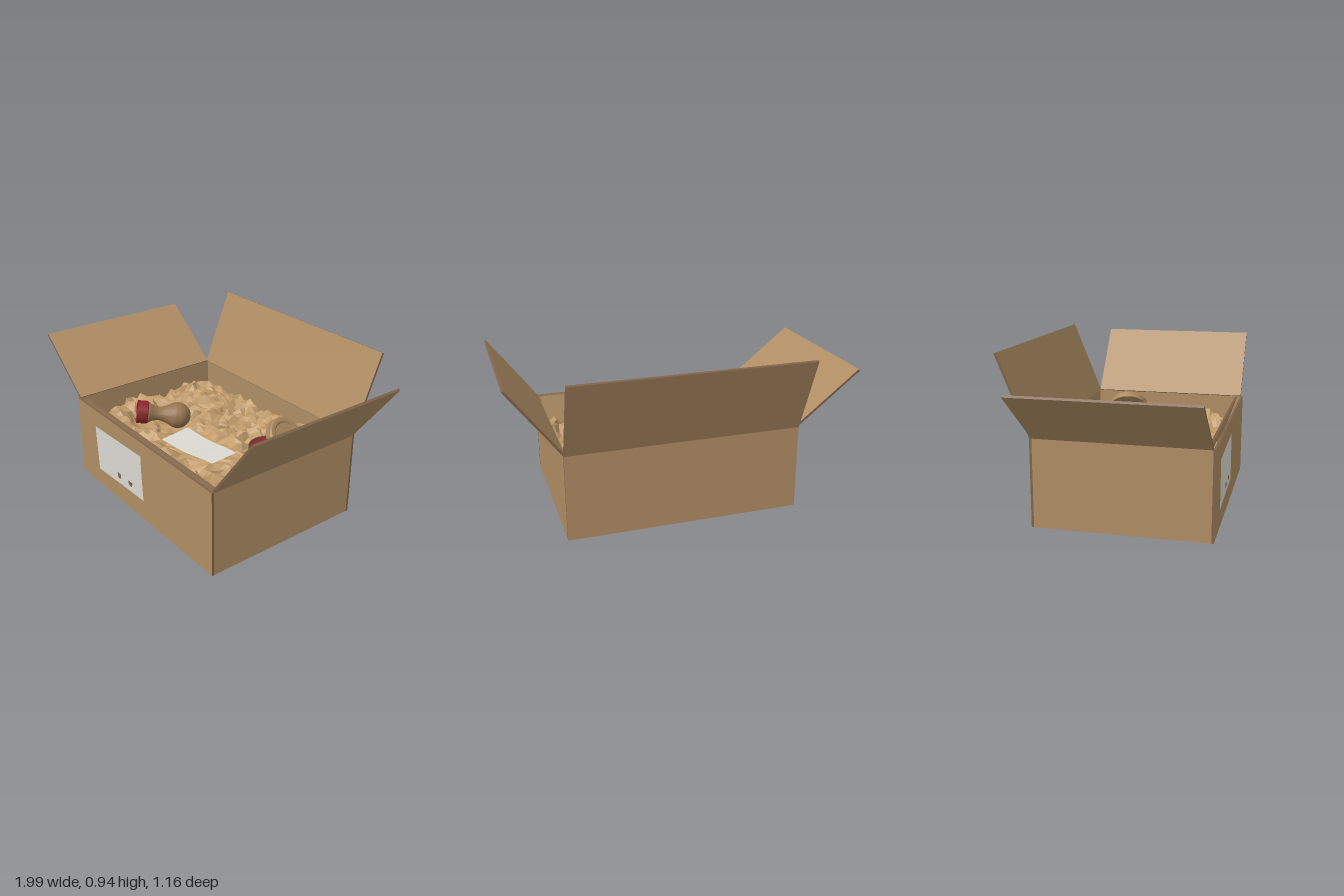
import * as THREE from 'three';
import { toCreasedNormals } from 'three/addons/utils/BufferGeometryUtils.js';

const material = (name, color, extra = {}) => {
  const m = new THREE.MeshStandardMaterial({ color, ...extra });
  m.name = name;
  return m;
};

export function createModel() {
  const board = material('cardboard', 0xb08e64);
  const edge = material('cardboard edge', 0x80634a);
  const packing = material('packing paper', 0xc09a69, { flatShading: true, side: THREE.DoubleSide });
  const white = material('white paper', 0xdbd9d2, { side: THREE.DoubleSide });
  const wood = material('wood', 0x94734f);
  const red = material('red', 0x8c2429);
  const lidTan = material('lid tan', 0xa9875d);
  const dark = material('dark brown', 0x5e4630);

  const group = new THREE.Group();
  group.name = 'openBox';
  const add = (name, geometry, mat, parent = group) => {
    const mesh = new THREE.Mesh(geometry, mat);
    mesh.name = name;
    parent.add(mesh);
    return mesh;
  };

  // Cardboard panel: broad faces are board, thin sides show the cut edge
  const panel = (name, w, h, d, x, y, z) => {
    const thin = [w, h, d].indexOf(Math.min(w, h, d));
    const mats = [0, 0, 1, 1, 2, 2].map(a => (a === thin ? board : edge));
    const mesh = add(name, new THREE.BoxGeometry(w, h, d), mats);
    mesh.position.set(x, y, z);
    return mesh;
  };

  const T = 0.013, L = -0.625, R = 0.71, F = 0.58, B = -0.40, H = 0.495;
  const cx = (L + R) / 2, cz = (F + B) / 2, W = R - L, D = F - B;

  // Box body
  panel('frontWall', W, H, T, cx, H / 2, F - T / 2);
  panel('backWall', W, H, T, cx, H / 2, B + T / 2);
  panel('leftWall', T, H, D - 2 * T, R - T / 2, H / 2, cz);
  panel('rightWall', T, H, D - 2 * T, L + T / 2, H / 2, cz);
  panel('floor', W - 2 * T, T, D - 2 * T, cx, T / 2, cz);

  // Flaps hinge about their lower edge
  const flapLength = 0.475;
  const flap = (name, w, d, x, z, rx, rz) => {
    const mesh = panel(name, w, flapLength, d, x, H, z);
    mesh.geometry.translate(0, flapLength / 2, 0);
    mesh.rotation.set(rx, 0, rz);
  };
  flap('leftFlap', T, D - 2 * T, R - T / 2, cz, 0, -0.644);
  flap('rightFlap', T, D - 2 * T, L + T / 2, cz, 0, 0.898);
  flap('backFlap', W, T, cx, B + T / 2, -0.388, 0);
  flap('frontFlapFoldedIn', W - 0.05, T, cx, F - 0.04, -(Math.PI - 0.33), 0);

  // Crumpled packing paper, kept lower beneath the things lying on it
  let seed = 7;
  const rand = () => {
    seed = (seed * 16807) % 2147483647;
    return seed / 2147483647 - 0.5;
  };
  const hollows = [[-0.30, 0.08, 0.12, 0.27], [-0.39, 0.22, 0.12, 0.305], [0.36, -0.10, 0.16, 0.325],
    [0.48, -0.13, 0.12, 0.33], [0.0, 0.22, 0.15, 0.345], [0.2, 0.19, 0.15, 0.345]];
  const NX = 44, NZ = 30, PW = W - 2 * T, PD = 0.9;
  const paper = new THREE.PlaneGeometry(PW, PD, NX, NZ).rotateX(-Math.PI / 2);
  paper.translate(cx, 0, B + T + PD / 2);
  const pos = paper.attributes.position;
  for (let i = 0; i < pos.count; i++) {
    const col = i % (NX + 1), row = Math.floor(i / (NX + 1));
    let x = pos.getX(i), z = pos.getZ(i);
    let y = 0.355 + 0.018 * Math.sin(9 * x + 4 * z) + 0.016 * Math.sin(13 * z - 6 * x + 1)
      + 0.012 * Math.sin(23 * x + 17 * z) + 0.055 * rand();
    if (z > 0.38) y -= (z - 0.38) * 0.4;
    for (const [hx, hz, r, floor] of hollows) {
      const k = 1 - THREE.MathUtils.smoothstep(Math.hypot(x - hx, z - hz), r * 0.75, r * 1.25);
      y += (Math.min(y, floor + 0.012 * rand()) - y) * k;
    }
    if (col > 0 && col < NX) x += 0.026 * rand();
    if (row > 0 && row < NZ) z += 0.026 * rand();
    pos.setXYZ(i, x, y, z);
  }
  paper.computeVertexNormals();
  add('packingPaper', paper, packing);

  // Loose note, gently curved on the packing
  const corners = [[-0.11, 0.14], [0.30, 0.10], [0.315, 0.28], [-0.08, 0.345]];
  const note = new THREE.PlaneGeometry(1, 1, 10, 1);
  const np = note.attributes.position;
  for (let i = 0; i < np.count; i++) {
    const u = np.getX(i) + 0.5, v = 0.5 - np.getY(i);
    const mix = k => (1 - v) * ((1 - u) * corners[0][k] + u * corners[1][k])
      + v * ((1 - u) * corners[3][k] + u * corners[2][k]);
    np.setXYZ(i, mix(0), 0.364 + 0.006 * Math.cos(u * 7), mix(1));
  }
  note.computeVertexNormals();
  add('note', note, white);

  // Label on the front wall with two torn spots
  const flat = (name, pts, z, mat) => {
    const shape = new THREE.Shape(pts.map(p => new THREE.Vector2(...p)));
    add(name, new THREE.ShapeGeometry(shape), mat).position.z = z;
  };
  flat('frontLabel', [[-0.425, 0.388], [-0.2, 0.397], [0.068, 0.407], [0.07, 0.28], [0.079, 0.125],
    [-0.15, 0.118], [-0.41, 0.105], [-0.418, 0.25]], F + 0.002, white);
  const spot = [[-0.02, 0.012], [-0.005, 0.018], [0.008, 0.014], [0.022, 0.017], [0.02, -0.008],
    [0.006, -0.02], [-0.012, -0.018], [-0.014, -0.002]];
  flat('tornSpot', spot.map(([x, y]) => [x - 0.175, y + 0.17]), F + 0.004, edge);
  flat('tornSpot', spot.map(([x, y]) => [-0.05 - x * 1.15, y * 0.85 + 0.174]), F + 0.004, edge);

  // Turned parts
  const up = new THREE.Vector3(0, 1, 0);
  const lathe = (pts, crease = 0.6) => toCreasedNormals(
    new THREE.LatheGeometry(pts.map(p => new THREE.Vector2(...p)), 40), crease);

  // Hand stamp lying on its side
  const stamp = new THREE.Group();
  stamp.name = 'handStamp';
  stamp.position.set(-0.293, 0.362, 0.085);
  stamp.quaternion.setFromUnitVectors(up, new THREE.Vector3(-0.5, 0.16, 0.85).normalize());
  group.add(stamp);
  const handle = [];
  for (let i = 0; i <= 12; i++) {
    const a = -Math.PI / 2 + (i / 12) * 2.25;
    handle.push([Math.max(0, 0.08 * Math.cos(a)), 0.08 * Math.sin(a)]);
  }
  handle.push([0.048, 0.085], [0.042, 0.11], [0.043, 0.135], [0.051, 0.16], [0.064, 0.18], [0.064, 0.19]);
  add('stampHandle', lathe(handle), wood, stamp);
  add('stampCollar', lathe([[0, 0.186], [0.066, 0.186], [0.07, 0.19], [0.07, 0.228], [0, 0.228]]), red, stamp);
  add('stampBand', lathe([[0.06, 0.228], [0.067, 0.228], [0.067, 0.234], [0.06, 0.234]]), dark, stamp);
  add('stampHead', lathe([[0.06, 0.234], [0.07, 0.234], [0.07, 0.25], [0.058, 0.25], [0.056, 0.244], [0, 0.244]]),
    red, stamp);

  // Round ink pad in its tin
  const tin = add('padTin', lathe([[0, 0], [0.116, 0], [0.12, 0.004], [0.12, 0.05], [0.11, 0.05], [0.11, 0.035]]), dark);
  tin.position.set(0.357, 0.322, -0.098);
  add('inkPad', new THREE.CylinderGeometry(0.111, 0.111, 0.03, 40), red, tin).position.y = 0.03;

  // Hollow lid leaning on the tin
  const lid = add('padLid', lathe([[0, 0.012], [0.106, 0.012], [0.109, -0.02], [0.12, -0.02], [0.12, 0.014],
    [0.113, 0.024], [0.092, 0.024], [0.084, 0.017], [0, 0.017]]), lidTan);
  lid.position.set(0.45, 0.452, -0.128);
  lid.quaternion.setFromUnitVectors(up, new THREE.Vector3(0.75, 0.64, -0.15).normalize());

  return group;
}
